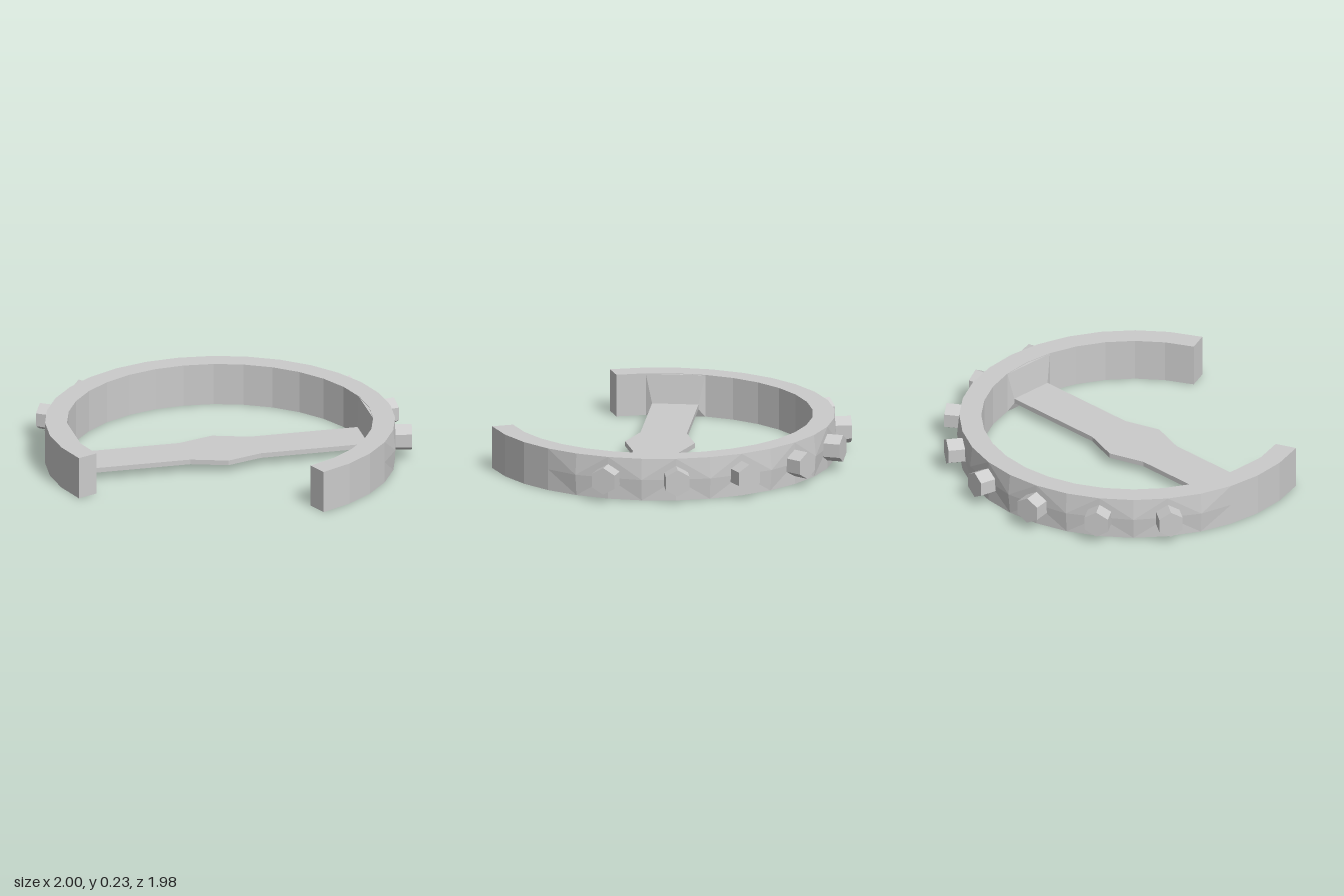
import * as THREE from 'three';
import { ConvexGeometry } from 'three/addons/geometries/ConvexGeometry.js';

const RAD = Math.PI / 180;
const STEP = 11.25 * RAD;
const INNER = 0.835, OUTER = 0.955, HEIGHT = 0.235;
const material = new THREE.MeshStandardMaterial({ color: 0xcccccc, flatShading: true });

function addMesh(parent, geometry, name) {
  const mesh = new THREE.Mesh(geometry, material);
  mesh.name = name;
  parent.add(mesh);
  return mesh;
}

// Three-quarter ring; its outer middle edge swells slightly between the studs
function ringGeometry() {
  const segments = 24, start = 101.25 * RAD, positions = [], index = [];
  for (let i = 0; i <= segments; i++) {
    const a = start + i * STEP;
    const swell = i >= 4 && i <= 20 && i % 2 === 0 ? 0.012 : 0;
    const section = [[INNER, 0], [OUTER, 0], [OUTER + swell, HEIGHT / 2], [OUTER, HEIGHT], [INNER, HEIGHT]];
    for (const [r, y] of section) positions.push(r * Math.cos(a), y, r * Math.sin(a));
  }
  for (let i = 0; i < segments; i++) {
    for (let j = 0; j < 5; j++) {
      const a = i * 5 + j, b = i * 5 + (j + 1) % 5, c = a + 5, d = b + 5;
      // diagonals alternate so that the facets mirror about each stud
      if (i % 2) index.push(a, b, c, b, d, c);
      else index.push(a, b, d, a, d, c);
    }
  }
  const e = segments * 5;
  for (let j = 1; j < 4; j++) index.push(0, j + 1, j, e, e + j, e + j + 1);
  const geometry = new THREE.BufferGeometry();
  geometry.setAttribute('position', new THREE.Float32BufferAttribute(positions, 3));
  geometry.setIndex(index);
  const flat = geometry.toNonIndexed();
  flat.computeVertexNormals();
  return flat;
}

// Flat bar with a widened middle, lying along x
function barGeometry() {
  const half = [[0.81, 0.127], [0.198, 0.127], [0, 0.191], [-0.198, 0.127], [-0.81, 0.127]];
  const outline = [...half, ...half.map(([x, z]) => [-x, -z])];
  const shape = new THREE.Shape(outline.map(([x, z]) => new THREE.Vector2(x, z)));
  const geometry = new THREE.ExtrudeGeometry(shape, { depth: 0.027, bevelEnabled: false });
  return geometry.rotateX(-Math.PI / 2).translate(0, 0.044, 0);
}

// Wedge that flares from the end of the bar to the full height of the ring
function bracketGeometry() {
  const points = [];
  for (const y of [0, HEIGHT - 0.003]) {
    for (const k of [-1, 0, 1]) {
      points.push(new THREE.Vector3(INNER * Math.cos(k * STEP), y, INNER * Math.sin(k * STEP)));
    }
  }
  for (const y of [0.044, 0.071]) {
    for (const z of [-0.127, 0.127]) points.push(new THREE.Vector3(0.802, y, z));
  }
  return new ConvexGeometry(points);
}

export function createModel() {
  const model = new THREE.Group();
  model.name = 'studdedRing';
  const body = new THREE.Group();
  body.name = 'body';
  body.position.set(0.045, 0, 0.045);
  model.add(body);

  addMesh(body, ringGeometry(), 'ring');

  // Crossbar with a bracket at each end
  const crossbar = new THREE.Group();
  crossbar.name = 'crossbar';
  crossbar.rotation.y = 56.25 * RAD;
  body.add(crossbar);
  addMesh(crossbar, barGeometry(), 'bar');
  const bracket = bracketGeometry();
  for (const turn of [0, Math.PI]) addMesh(crossbar, bracket, 'bracket').rotation.y = turn;

  // Hexagonal studs, point up, around the outside
  const stud = new THREE.CylinderGeometry(0.075, 0.075, 0.115, 6)
    .rotateY(Math.PI / 2).rotateZ(Math.PI / 2).translate(0.9875, 0.12, 0);
  for (let i = 0; i < 8; i++) {
    addMesh(body, stud, 'stud').rotation.y = -(157.5 + i * 22.5) * RAD;
  }
  return model;
}
